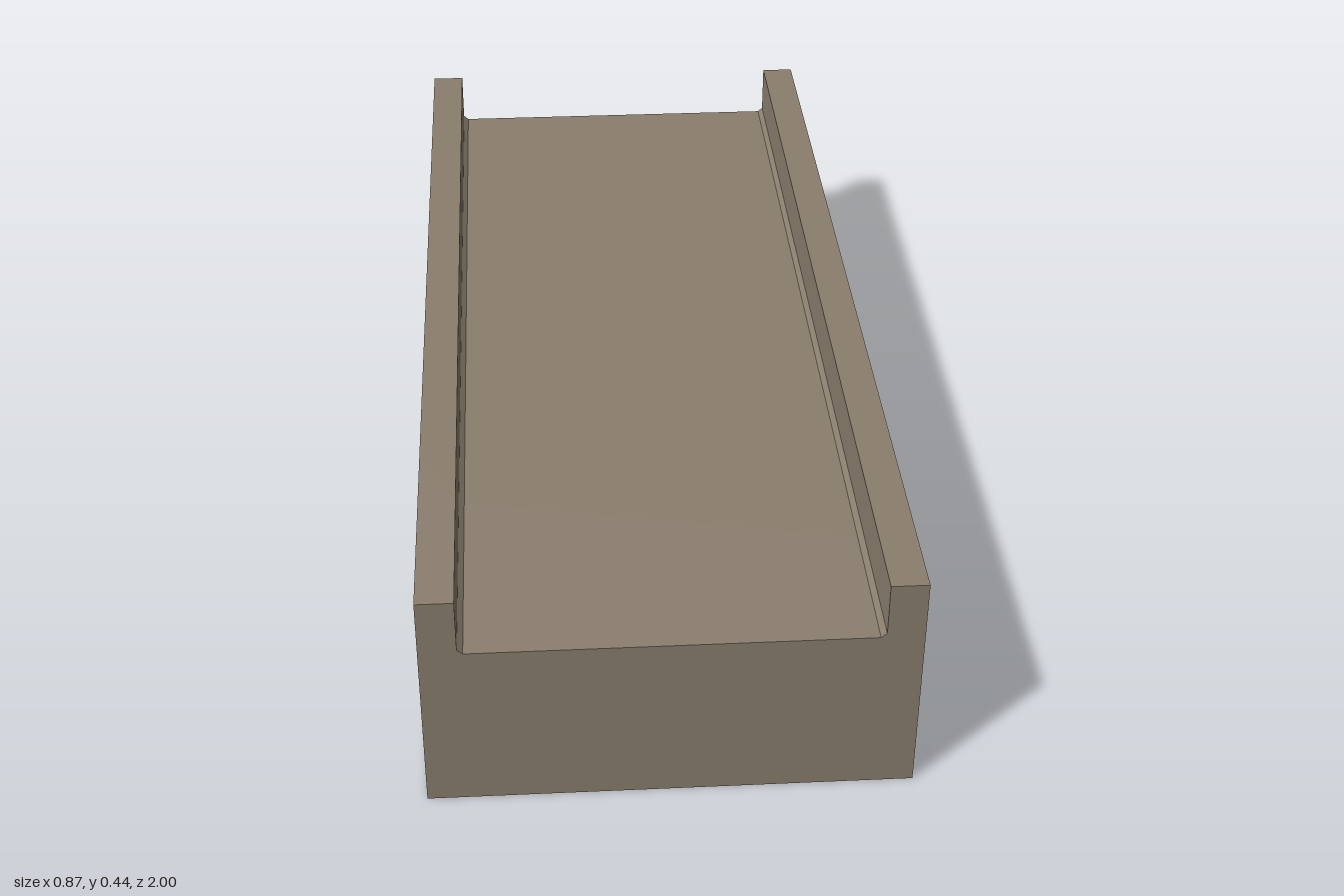
import * as THREE from 'three';

// Stations along the length: [z, height of the underside]
const stations = [[-1, 0], [-0.714, 0], [-0.56, 0.07], [0.573, 0.07], [0.72, 0], [1, 0]];

// Channel cross-section: solid deck with a raised curb on each side
const halfProfile = [[0.434, 0], [0.434, 0.443], [0.367, 0.443], [0.367, 0.341], [0.357, 0.332]];

export function createModel() {
  const group = new THREE.Group();
  const mirrored = halfProfile.map(([x, y]) => [-x, y]).reverse();
  const shape = new THREE.Shape([...halfProfile, ...mirrored].map(([x, y]) => new THREE.Vector2(x, y)));

  // One step per station, then move each ring to its z and lift its underside
  const steps = stations.length - 1;
  const geometry = new THREE.ExtrudeGeometry(shape, { depth: steps, steps, bevelEnabled: false });
  const pos = geometry.attributes.position;
  for (let i = 0; i < pos.count; i++) {
    const [z, bottom] = stations[Math.round(pos.getZ(i))];
    pos.setZ(i, z);
    if (pos.getY(i) < 0.001) pos.setY(i, bottom);
  }
  geometry.computeVertexNormals();

  const material = new THREE.MeshStandardMaterial({ color: 0x8b7f6e, flatShading: true });
  const deck = new THREE.Mesh(geometry, material);
  deck.name = 'bridgeDeck';
  group.add(deck);
  return group;
}
